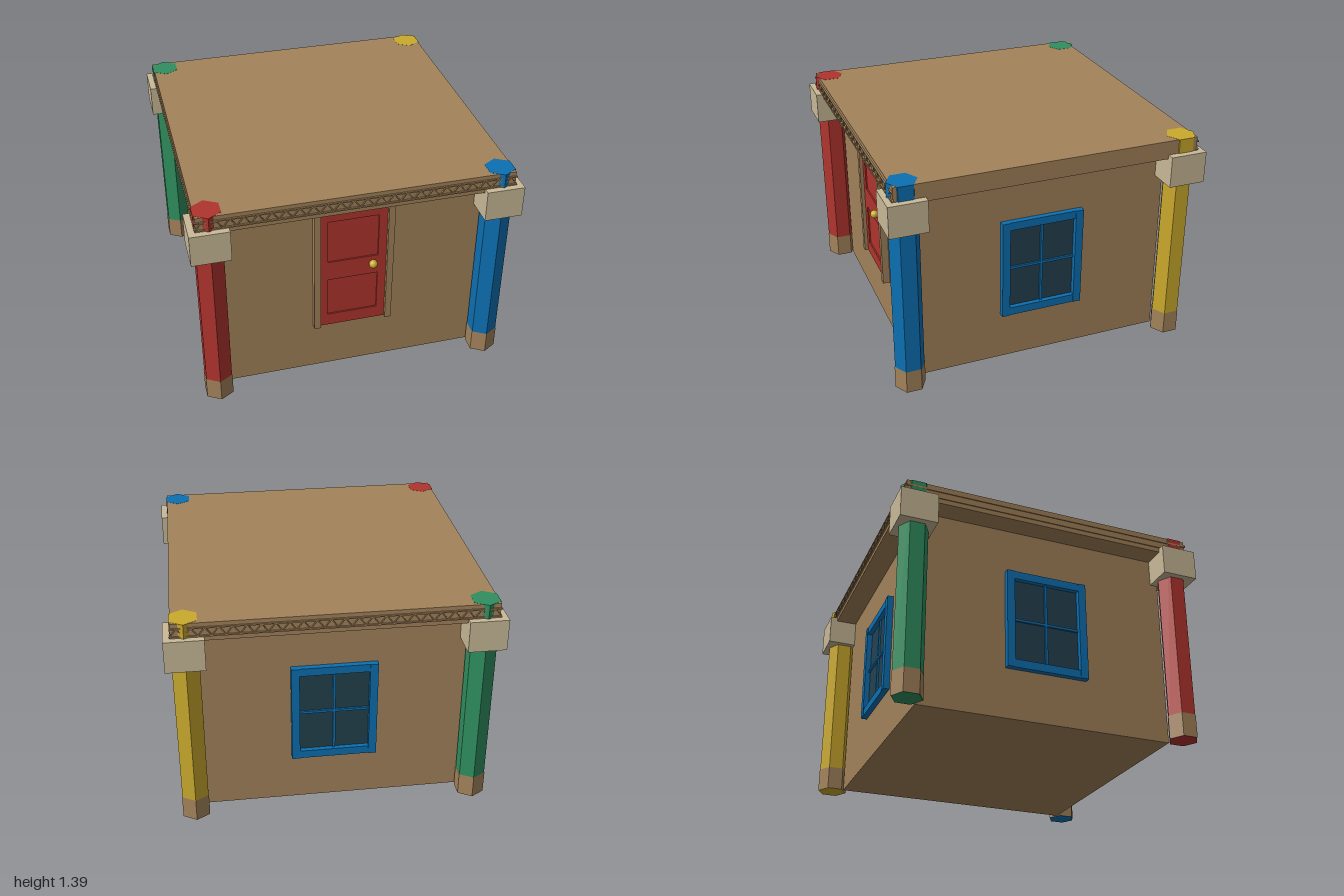
import * as THREE from 'three';

const mat = (name, color) => {
  const m = new THREE.MeshStandardMaterial({ color });
  m.name = name;
  return m;
};

export function createModel() {
  const brown = mat('brown', 0xa3835b);
  const stone = mat('stone', 0xc9ba98);
  const red = mat('red', 0xb0342e);
  const blue = mat('blue', 0x0c70b2);
  const yellow = mat('yellow', 0xcaa92c);
  const green = mat('green', 0x2f8f5f);
  const glass = mat('glass', 0x24424f);

  const model = new THREE.Group();
  model.name = 'house';

  const add = (parent, name, geo, material, x = 0, y = 0, z = 0) => {
    const m = new THREE.Mesh(geo, material);
    m.name = name;
    m.position.set(x, y, z);
    parent.add(m);
    return m;
  };
  // box given by its limits on each axis
  const box = (parent, name, material, x0, x1, y0, y1, z0, z1) =>
    add(parent, name, new THREE.BoxGeometry(x1 - x0, y1 - y0, z1 - z0), material,
      (x0 + x1) / 2, (y0 + y1) / 2, (z0 + z1) / 2);

  const W = 0.815; // wall half width
  const R = 0.955; // roof half width
  box(model, 'walls', brown, -W, W, 0, 1.28, -W, W);
  box(model, 'roofSlab', brown, -R, R, 1.273, 1.39, -R, R);

  // hexagonal corner columns with a brown foot and a square capital
  const corners = [[-1, 1, red], [1, 1, blue], [1, -1, yellow], [-1, -1, green]];
  for (const [sx, sz, material] of corners) {
    const g = new THREE.Group();
    g.name = 'cornerColumn';
    g.position.set(sx * 0.88, 0, sz * 0.88);
    const shaft = new THREE.CylinderGeometry(0.093, 0.093, 1.391, 6).toNonIndexed();
    shaft.computeVertexNormals();
    add(g, 'columnShaft', shaft, material, 0, 0.6955, 0);
    const foot = new THREE.CylinderGeometry(0.096, 0.096, 0.15, 6, 1, true).toNonIndexed();
    foot.computeVertexNormals();
    add(g, 'columnFoot', foot, brown, 0, 0.075, 0);
    add(g, 'columnCapital', new THREE.BoxGeometry(0.235, 0.2, 0.235), stone, sx * 0.0025, 1.2, sz * 0.0025);
    model.add(g);
  }

  // zigzag lattice along the front and back roof edges
  for (const angle of [0, Math.PI]) {
    const g = new THREE.Group();
    g.name = 'roofLattice';
    g.rotation.y = angle;
    for (const y of [1.307, 1.36])
      box(g, 'latticeRail', brown, -0.96, 0.96, y - 0.004, y + 0.004, R - 0.005, R + 0.01);
    const count = 48, step = 1.92 / count;
    const length = Math.hypot(step, 0.053);
    for (let i = 0; i < count; i++) {
      const bar = add(g, 'latticeBar', new THREE.BoxGeometry(length, 0.006, 0.012), brown,
        -0.96 + (i + 0.5) * step, 1.3335, R + 0.002);
      bar.rotation.z = (i % 2 ? -1 : 1) * Math.atan2(0.053, step);
    }
    model.add(g);
  }
  // plain double moulding on the right roof edge
  for (const y of [1.31, 1.355])
    box(model, 'roofMoulding', brown, -R - 0.006, -R + 0.005, y - 0.006, y + 0.006, -R, R);

  // windows on both sides and the back, built facing +z
  for (const angle of [Math.PI / 2, Math.PI, -Math.PI / 2]) {
    const g = new THREE.Group();
    g.name = 'window';
    g.rotation.y = angle;
    box(g, 'windowGlass', glass, -0.22, 0.22, 0.37, 0.93, W - 0.005, W + 0.006);
    for (const s of [-1, 1])
      box(g, 'windowJamb', blue, s * 0.24 - 0.025, s * 0.24 + 0.025, 0.32, 0.973, W - 0.01, W + 0.04);
    box(g, 'windowHead', blue, -0.215, 0.215, 0.921, 0.973, W - 0.01, W + 0.036);
    box(g, 'windowSill', blue, -0.215, 0.215, 0.32, 0.373, W - 0.01, W + 0.036);
    box(g, 'windowMullion', blue, -0.008, 0.008, 0.373, 0.921, W, W + 0.018);
    box(g, 'windowBar', blue, -0.215, 0.215, 0.639, 0.655, W, W + 0.018);
    model.add(g);
  }

  // panelled door with trim and knob
  const door = new THREE.Group();
  door.name = 'door';
  const rect = (T, x0, x1, y0, y1) => new T([
    [x0, y0], [x1, y0], [x1, y1], [x0, y1],
  ].map(([x, y]) => new THREE.Vector2(x, y)));
  const leaf = rect(THREE.Shape, -0.21, 0.21, 0.345, 1.24);
  leaf.holes.push(rect(THREE.Path, -0.16, 0.157, 0.84, 1.14), rect(THREE.Path, -0.16, 0.157, 0.43, 0.705));
  add(door, 'doorLeaf', new THREE.ExtrudeGeometry(leaf, { depth: 0.012, bevelEnabled: false }), red, 0, 0, W + 0.01);
  box(door, 'doorPanels', red, -0.205, 0.205, 0.35, 1.235, W - 0.005, W + 0.013);
  for (const s of [-1, 1])
    box(door, 'doorSideTrim', brown, s * 0.23 - 0.02, s * 0.23 + 0.02, 0.345, 1.275, W - 0.01, W + 0.045);
  box(door, 'doorTopTrim', brown, -0.21, 0.21, 1.24, 1.275, W - 0.01, W + 0.04);
  add(door, 'doorKnob', new THREE.SphereGeometry(0.027, 20, 14), yellow, 0.122, 0.793, W + 0.045);
  const stem = add(door, 'knobStem', new THREE.CylinderGeometry(0.011, 0.011, 0.03, 12), yellow, 0.122, 0.793, W + 0.025);
  stem.rotation.x = Math.PI / 2;
  model.add(door);

  return model;
}
